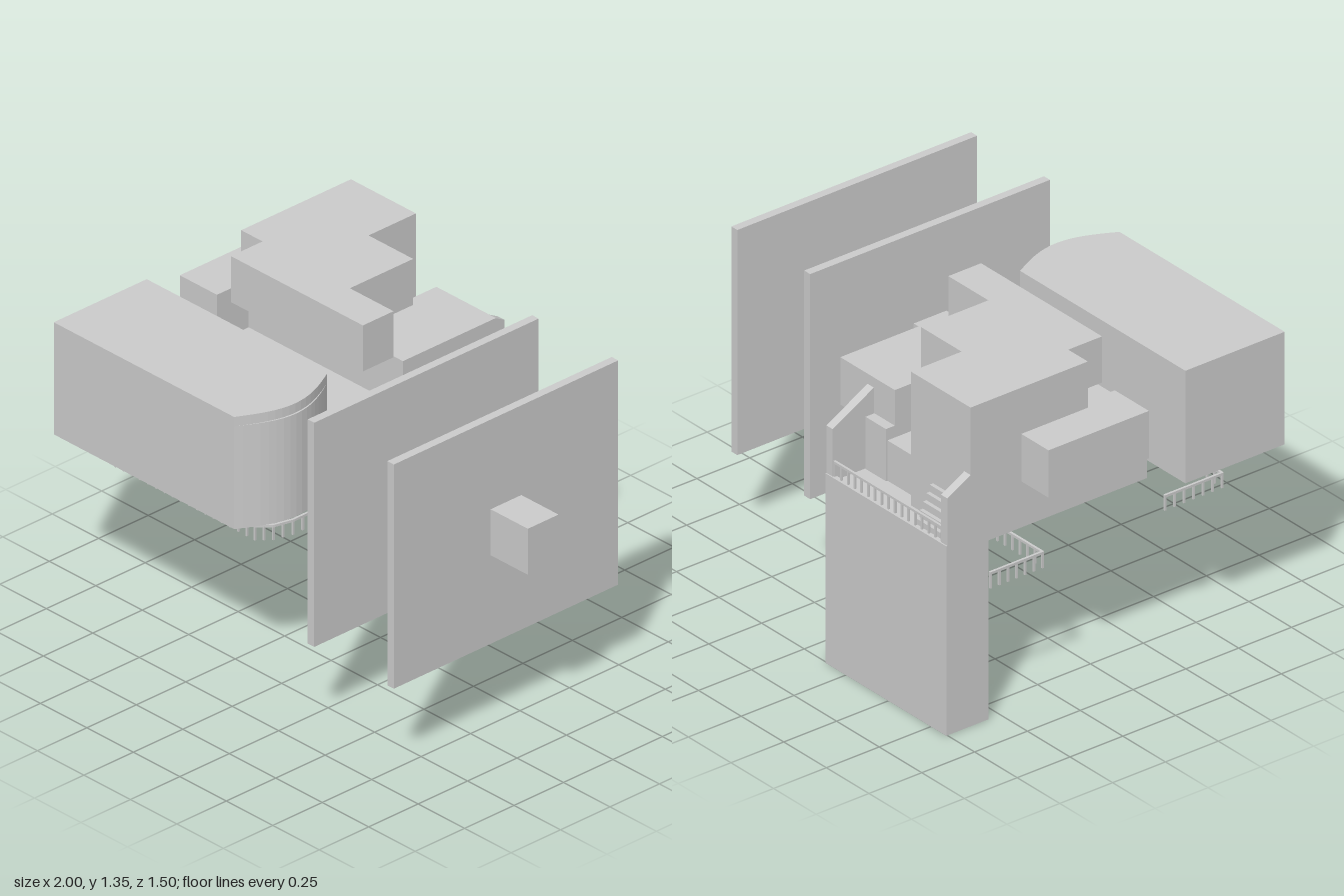
import * as THREE from 'three';

const mat = new THREE.MeshStandardMaterial({ color: 0xcccccc, flatShading: true });

export function createModel() {
  const root = new THREE.Group();

  const add = (name, geo, parent = root) => {
    const m = new THREE.Mesh(geo, mat);
    m.name = name;
    parent.add(m);
    return m;
  };
  // box given by its extents along each axis
  const box = (name, x0, x1, y0, y1, z0, z1, parent) => {
    const m = add(name, new THREE.BoxGeometry(x1 - x0, y1 - y0, z1 - z0), parent);
    m.position.set((x0 + x1) / 2, (y0 + y1) / 2, (z0 + z1) / 2);
    return m;
  };
  // plan outline in (x, z), extruded upwards from y0 to y1
  const slab = (name, pts, y0, y1) => {
    const shape = new THREE.Shape(pts.map(([x, z]) => new THREE.Vector2(x, -z)));
    const geo = new THREE.ExtrudeGeometry(shape, { depth: y1 - y0, bevelEnabled: false });
    geo.rotateX(-Math.PI / 2).translate(0, y0, 0);
    return add(name, geo);
  };
  // railing: a thin bar along a plan path with regular pins below it
  const railing = (name, path, top, bottom, step = 0.043) => {
    const g = new THREE.Group();
    g.name = name;
    root.add(g);
    for (let i = 0; i + 1 < path.length; i++) {
      const [xa, za] = path[i], [xb, zb] = path[i + 1];
      const len = Math.hypot(xb - xa, zb - za);
      const bar = add('rail', new THREE.BoxGeometry(len + 0.008, 0.01, 0.01), g);
      bar.position.set((xa + xb) / 2, top - 0.005, (za + zb) / 2);
      bar.rotation.y = -Math.atan2(zb - za, xb - xa);
      const n = Math.max(1, Math.round(len / step));
      for (let k = 0; k <= n; k++) {
        const x = xa + (xb - xa) * k / n, z = za + (zb - za) * k / n;
        box('pin', x - 0.004, x + 0.004, bottom, top - 0.005, z - 0.004, z + 0.004, g);
      }
    }
    return g;
  };

  // front hall with a bowed end, and its roof
  const hall = (bow) => {
    const pts = [[-0.96, 0.75], [-0.96, 0.28]];
    for (let i = 0; i <= 16; i++) {
      const t = i / 16;
      pts.push([0.01 + bow * Math.sin(Math.PI * t), 0.28 + 0.47 * t]);
    }
    return pts;
  };
  slab('frontHall', hall(0.087), 0.755, 1.19);
  slab('frontHallRoof', hall(0.08), 1.19, 1.23);
  box('hallConnector', -0.565, -0.41, 0.755, 0.95, 0.19, 0.285);

  // corridor, with an open link between the two large panels
  box('corridor', -0.84, 0.34, 0.755, 0.95, 0.04, 0.195);
  box('corridorCollar', 0.34, 0.38, 0.755, 0.95, 0.035, 0.2);
  box('corridorCollar', 0.75, 0.79, 0.755, 0.95, 0.035, 0.2);
  box('corridorEnd', 0.79, 1.0, 0.755, 0.95, 0.04, 0.195);
  for (const z of [0.07, 0.16]) {
    railing('linkRailing', [[0.38, z], [0.75, z]], 0.835, 0.785, 0.041);
    box('linkLowerRail', 0.38, 0.75, 0.78, 0.79, z - 0.005, z + 0.005);
  }
  for (const x of [0.337, 0.765]) box('largePanel', x, x + 0.035, 0.38, 1.33, -0.45, 0.685);

  // central block: floor level, core and stepped upper storey
  box('lowerStorey', -0.84, -0.13, 0.755, 0.95, -0.59, 0.045);
  slab('core', [[-0.84, -0.64], [-0.49, -0.64], [-0.49, -0.4], [-0.25, -0.4],
    [-0.25, -0.085], [-0.84, -0.085]], 0.76, 1.15);
  slab('upperStorey', [[-0.84, -0.64], [-0.49, -0.64], [-0.49, -0.4], [-0.25, -0.4],
    [-0.25, -0.08], [-0.015, -0.08], [-0.015, 0.075], [-0.725, 0.075],
    [-0.725, -0.085], [-0.84, -0.085]], 1.15, 1.345);
  box('overhangingRoom', -0.29, 0.03, 0.95, 1.15, -0.555, -0.085);
  box('sideRoom', -1.0, -0.8, 0.95, 1.15, -0.4, 0.075);

  // rear tower: open channel with a back wall and two sloped side walls
  box('towerBackWall', -0.84, -0.13, 0, 0.8, -0.755, -0.735);
  const side = (name, x, zFront) => {
    const pts = [[0.75, 0], [0.75, 1.0], [0.55, 1.11], [0.55, 0.755], [zFront, 0.755], [zFront, 0]];
    const geo = new THREE.ExtrudeGeometry(
      new THREE.Shape(pts.map((p) => new THREE.Vector2(...p))), { depth: 0.037, bevelEnabled: false });
    geo.rotateY(Math.PI / 2);
    add(name, geo).position.x = x;
  };
  side('towerSideLeft', -0.167, 0.59);
  side('towerSideRight', -0.84, 0.555);
  // profiles above run along -z, so the panels are turned to match
  box('towerBalconyFloor', -0.81, -0.16, 0.755, 0.78, -0.74, -0.58);
  box('towerInnerBox', -0.61, -0.41, 0.42, 0.575, -0.736, -0.7);
  railing('balconyRailing', [[-0.8, -0.742], [-0.17, -0.742]], 0.865, 0.8, 0.04);
  box('balconyPost', -0.29, -0.17, 0.76, 1.0, -0.597, -0.52);
  for (let i = 0; i < 5; i++) {
    box('balconyStep', -0.76, -0.62, 0.77, 0.81 + i * 0.03, -0.72 + i * 0.016, -0.704 + i * 0.016);
  }

  // hanging railings beneath the floors
  railing('frontHangingRailing', [[-0.84, 0.28], [-0.84, 0.55], [-0.09, 0.55], [-0.045, 0.5],
    [-0.025, 0.42], [-0.025, 0.32]], 0.655, 0.59);
  railing('rearHangingRailing', [[-0.84, -0.545], [-0.84, -0.3], [-0.14, -0.3], [-0.14, -0.545]], 0.62, 0.55);
  railing('shortHangingRailing', [[-0.295, -0.54], [-0.25, -0.54]], 0.555, 0.485);
  return root;
}
